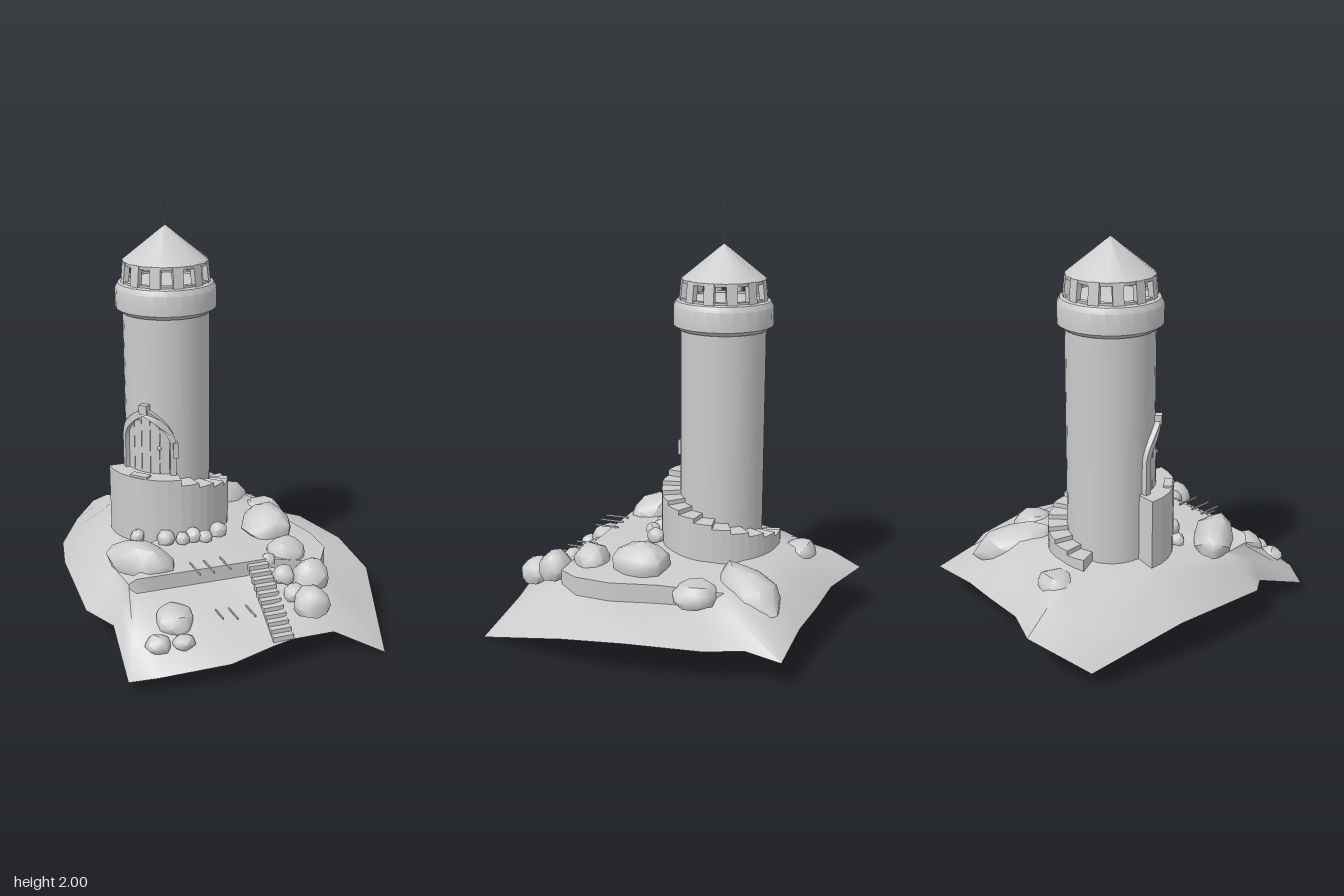
import * as THREE from 'three';
import { mergeVertices, toCreasedNormals } from 'three/addons/utils/BufferGeometryUtils.js';

const mat = new THREE.MeshStandardMaterial({ color: 0xcccccc });
const twoSided = new THREE.MeshStandardMaterial({ color: 0xcccccc, side: THREE.DoubleSide });
const CX = -0.18, CZ = -0.15; // tower axis

function add(parent, name, geo, x = 0, y = 0, z = 0, material = mat) {
  const m = new THREE.Mesh(geo, material);
  m.name = name;
  m.position.set(x, y, z);
  parent.add(m);
  return m;
}
const box = (w, h, d) => new THREE.BoxGeometry(w, h, d);
const lathe = (pts, n) => toCreasedNormals(
  new THREE.LatheGeometry(pts.map(p => new THREE.Vector2(...p)), n), 0.5);

// Hill: spokes from the tower to the plateau rim, down a retaining wall, out to the edge
function hill() {
  // [edge x, y, z], [rim x, y, z], wall drop
  const spokes = [
    [[-.42, .23, -.8], [-.34, .36, -.52], 0], [[-.2, .2, -.71], [-.18, .38, -.5], 0],
    [[.03, .19, -.7], [0, .37, -.48], 0], [[.23, .17, -.675], [.15, .36, -.45], 0],
    [[.515, .14, -.675], [.3, .33, -.42], 0], [[.515, .165, -.51], [.33, .33, -.35], 0],
    [[.615, .18, -.35], [.36, .34, -.25], .08], [[.69, .19, -.02], [.38, .34, -.05], .09],
    [[.7, .16, .28], [.44, .34, .17], .09], [[.55, .005, .78], [.44, .34, .34], .09],
    [[.32, .12, .72], [.37, .33, .45], .07], [[.11, .14, .75], [.115, .37, .42], .04],
    [[.02, .13, .76], [.02, .37, .42], .07], [[-.19, .105, .8], [-.19, .37, .42], .07],
    [[-.5, .08, .765], [-.42, .37, .42], .07], [[-.62, .05, .71], [-.5, .37, .42], .07],
    [[-.61, .16, .42], [-.53, .34, .4], .02], [[-.705, .19, .3], [-.55, .34, .25], 0],
    [[-.705, .2, -.18], [-.5, .36, -.18], 0], [[-.63, .09, -.62], [-.45, .35, -.4], 0],
    [[-.53, .17, -.72], [-.4, .35, -.47], 0],
  ];
  const rings = [[], [], [], [], []];
  for (const [e, r, drop] of spokes) {
    const edge = new THREE.Vector3(...e), rim = new THREE.Vector3(...r);
    const foot = rim.clone().setY(rim.y - drop);
    const mid = foot.clone().lerp(edge, 0.5);
    mid.y += 0.02;
    [new THREE.Vector3(CX, 0.4, CZ), rim, foot, mid, edge].forEach((p, k) => rings[k].push(p));
  }
  const pos = [];
  const tri = (...ps) => ps.forEach(p => pos.push(p.x, p.y, p.z));
  for (let k = 0; k < 4; k++) for (let i = 0; i < spokes.length; i++) {
    const j = (i + 1) % spokes.length, A = rings[k], B = rings[k + 1];
    if (k > 0) tri(A[i], A[j], B[i]);
    tri(A[j], B[j], B[i]);
  }
  const g = new THREE.BufferGeometry();
  g.setAttribute('position', new THREE.Float32BufferAttribute(pos, 3));
  return toCreasedNormals(g, 0.78);
}

// Boulder: lumpy ball with a flattened underside, seeded by its index
function rockGeometry(seed) {
  let s = seed * 7919 + 13;
  const rnd = () => (s = (s * 16807) % 2147483647) / 2147483647;
  let g = new THREE.IcosahedronGeometry(1, 1);
  g.deleteAttribute('normal');
  g.deleteAttribute('uv');
  g = mergeVertices(g, 1e-3);
  const p = g.attributes.position;
  for (let i = 0; i < p.count; i++) {
    const k = 0.92 + 0.2 * rnd();
    p.setXYZ(i, p.getX(i) * k, Math.max(p.getY(i) * k, -0.5), p.getZ(i) * k);
  }
  return toCreasedNormals(g, 0.75);
}

// Wedge of a ring round the tower, angle 0 facing the front and growing towards +x
function wedge(a0, a1, height, r0 = 0.19, r1 = 0.292) {
  const n = Math.max(1, Math.round((a1 - a0) / 0.2)), pts = [];
  const at = (r, a) => new THREE.Vector2(r * Math.sin(a), -r * Math.cos(a));
  for (let i = 0; i <= n; i++) pts.push(at(r1, a0 + (a1 - a0) * i / n));
  for (let i = n; i >= 0; i--) pts.push(at(r0, a0 + (a1 - a0) * i / n));
  return new THREE.ExtrudeGeometry(new THREE.Shape(pts), { depth: height, bevelEnabled: false }).rotateX(-Math.PI / 2);
}

// Pointed arch outline standing on y = 0
function arch(Type, w, spring, top) {
  const s = new Type();
  s.moveTo(-w, 0);
  s.lineTo(w, 0);
  s.lineTo(w, spring);
  s.quadraticCurveTo(w * 0.9, top - 0.06, 0, top);
  s.quadraticCurveTo(-w * 0.9, top - 0.06, -w, spring);
  s.lineTo(-w, 0);
  return s;
}

// Wraps a flat arch round the tower wall: x becomes arc length, z the radius
function wrap(geo) {
  const p = geo.attributes.position;
  for (let i = 0; i < p.count; i++) {
    const a = p.getX(i) / 0.2, r = p.getZ(i);
    p.setXYZ(i, r * Math.sin(a), p.getY(i), r * Math.cos(a));
  }
  return toCreasedNormals(geo, 0.5);
}

function buildDoorway() {
  const d = new THREE.Group();
  d.name = 'doorway';
  d.rotation.y = -0.8;
  const frame = arch(THREE.Shape, 0.137, 0.2, 0.36);
  frame.holes.push(arch(THREE.Path, 0.112, 0.2, 0.325));
  const frameGeo = new THREE.ExtrudeGeometry(frame, { depth: 0.04, bevelEnabled: false, curveSegments: 8 });
  add(d, 'doorFrame', wrap(frameGeo.translate(0, 0, 0.187)), 0, 0.65);
  // Planks, taller towards the middle
  for (let i = -2; i <= 2; i++) {
    const a = i * 0.22;
    add(d, 'doorPlank', wedge(a - 0.105, a + 0.105, 0.325 - 0.032 * Math.abs(i), 0.185, 0.208), 0, 0.65);
  }
  const onWall = (name, geo, a, r, y) => {
    add(d, name, geo, r * Math.sin(a), y, r * Math.cos(a)).rotation.y = a;
  };
  onWall('doorHandle', new THREE.SphereGeometry(0.01, 8, 6), 0.33, 0.214, 0.82);
  onWall('keystone', box(0.04, 0.045, 0.05), 0, 0.208, 1.005);
  onWall('jambBlock', box(0.022, 0.075, 0.035), 0.67, 0.22, 0.815);
  onWall('doorstep', box(0.09, 0.05, 0.04), 0, 0.265, 0.675);
  return d;
}

function buildTower() {
  const t = new THREE.Group();
  t.name = 'tower';
  t.position.set(CX, 0, CZ);
  add(t, 'towerShaft', new THREE.CylinderGeometry(0.202, 0.202, 1.1, 32), 0, 0.9);
  add(t, 'galleryCollar', lathe([[0.19, 1.425], [0.21, 1.43], [0.235, 1.45], [0.235, 1.54],
    [0.222, 1.565], [0.205, 1.57], [0, 1.57]], 24));
  // Lantern room: leaning posts and a sill
  for (let i = 0; i < 12; i++) {
    const pivot = new THREE.Group();
    pivot.name = 'lanternPost';
    pivot.rotation.y = i * Math.PI / 6;
    add(pivot, 'post', box(0.048, 0.1, 0.025), 0, 1.615, 0.19).rotation.x = -0.1;
    t.add(pivot);
  }
  add(t, 'lanternSill', lathe([[0.175, 1.565], [0.203, 1.565], [0.203, 1.58], [0.175, 1.58], [0.175, 1.565]], 20));
  add(t, 'roof', lathe([[0, 1.65], [0.198, 1.65], [0.2, 1.665], [0.025, 1.806], [0, 1.825]], 16));
  // Finial
  add(t, 'finialRod', new THREE.CylinderGeometry(0.001, 0.001, 0.18, 6), 0, 1.908);
  add(t, 'finialBar', new THREE.CylinderGeometry(0.001, 0.001, 0.105, 6), 0, 1.95).rotation.z = Math.PI / 2;
  for (const [x, y] of [[-0.053, 1.95], [0.053, 1.95], [0, 1.997]])
    add(t, 'finialKnob', new THREE.SphereGeometry(0.003, 8, 6), x, y);

  // Landing and winding steps
  const start = -0.08, turn = 0.307;
  add(t, 'landing', wedge(-Math.PI / 2, start, 0.33), 0, 0.36);
  for (let i = 0; i < 12; i++)
    add(t, 'windingStep', wedge(start + i * turn, start + (i + 1) * turn, 0.3 - i * 0.0215), 0, 0.36);
  t.add(buildDoorway());
  return t;
}

export function createModel() {
  const g = new THREE.Group();
  g.name = 'hilltopTower';
  add(g, 'hill', hill(), 0, 0, 0, twoSided);
  g.add(buildTower());

  // Boulders: x, y, z, half sizes, turn about y, lean about their own x
  const rocks = [
    [-.27, .33, -.53, .095, .06, .08, 0, 0], [.21, .31, -.43, .115, .085, .195, -.6, -.25],
    [.34, .3, -.22, .11, .07, .105, 0, 0], [.245, .38, .09, .125, .095, .135, 0, 0],
    [.235, .34, .35, .09, .09, .085, 0, 0], [.285, .3, .52, .085, .085, .08, 0, 0],
    [.24, .24, .65, .08, .08, .075, 0, 0], [.13, .35, .4, .035, .035, .03, 0, 0],
    [.17, .31, .49, .05, .05, .05, 0, 0], [.19, .26, .58, .05, .05, .05, 0, 0],
    [-.44, .37, .27, .09, .1, .17, .75, 0], [-.37, .22, .56, .085, .06, .085, 0, .25],
    [-.47, .17, .65, .055, .04, .05, 0, .25], [-.36, .17, .67, .05, .035, .04, 0, .25],
  ];
  rocks.forEach(([x, y, z, a, b, c, turn, lean], i) => {
    const m = add(g, 'boulder', rockGeometry(i + 1), x, y, z);
    m.scale.set(a, b, c);
    m.rotation.set(lean, turn, 0, 'YXZ');
  });
  // Pebbles at the tower foot
  [[-.4, .07], [-.28, .14], [-.21, .17], [-.15, .15], [-.1, .18], [-.02, .13]].forEach(([x, z], i) =>
    add(g, 'footStone', rockGeometry(i + 30), x, 0.405, z).scale.setScalar(0.034 + 0.008 * (i % 2)));

  // Front stair down the slope
  for (let i = 0; i < 11; i++)
    add(g, 'pathStep', box(0.095, 0.025, 0.032), 0.068, 0.345 - i * 0.0195, 0.432 + i * 0.03);

  // Thin level slats on the two terraces
  for (const [x, y, z] of [[-.235, .388, .44], [-.17, .388, .44], [-.09, .388, .43],
    [-.18, .24, .59], [-.12, .24, .61], [-.04, .24, .615]])
    add(g, 'groundSlat', box(0.006, 0.008, 0.125), x, y, z).rotation.y = 0.06;
  return g;
}
